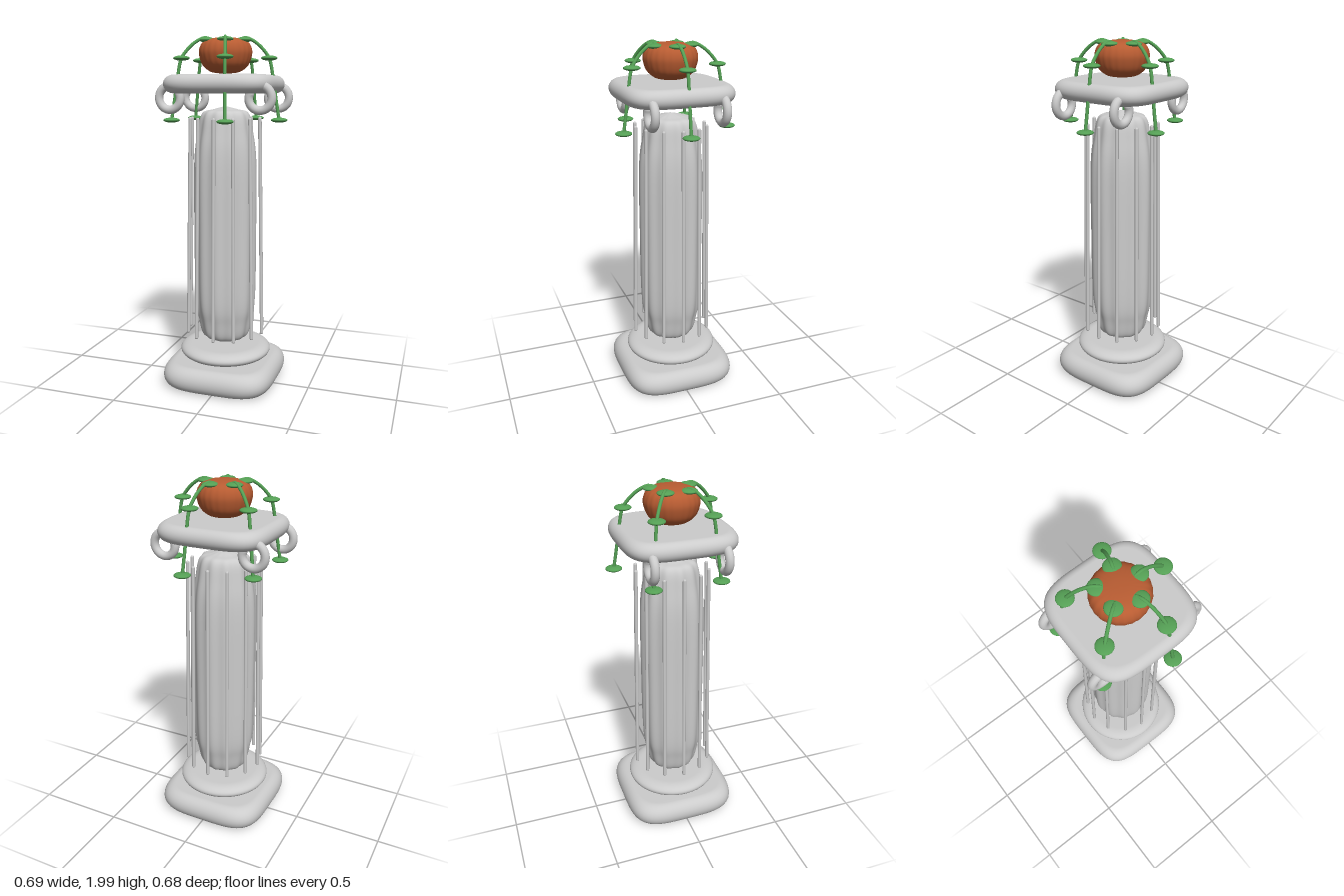
import * as THREE from 'three';
import { mergeVertices } from 'three/addons/utils/BufferGeometryUtils.js';

const AXIS_X = -0.007; // column axis
const stone = new THREE.MeshStandardMaterial({ color: 0xcccccc });
const clay = new THREE.MeshStandardMaterial({ color: 0xb85c32 });
const leafGreen = new THREE.MeshStandardMaterial({ color: 0x55a055 });

function addMesh(parent, name, geometry, material) {
  const mesh = new THREE.Mesh(geometry, material);
  mesh.name = name;
  parent.add(mesh);
  return mesh;
}

// Turned solid whose radius is scaled by a rule of the angle and height
function turned(points, segments, scaleAt = () => 1) {
  const g = new THREE.LatheGeometry(points, segments);
  const p = g.attributes.position;
  for (let i = 0; i < p.count; i++) {
    const s = scaleAt(Math.atan2(p.getZ(i), p.getX(i)), p.getY(i));
    p.setX(i, p.getX(i) * s);
    p.setZ(i, p.getZ(i) * s);
  }
  g.deleteAttribute('uv');
  g.deleteAttribute('normal');
  const merged = mergeVertices(g, 1e-5);
  merged.computeVertexNormals();
  return merged;
}

const smooth = (pairs, n) =>
  new THREE.SplineCurve(pairs.map(([r, y]) => new THREE.Vector2(r, y)))
    .getPoints(n).map(v => new THREE.Vector2(Math.max(v.x, 0), v.y));

// Profile of a slab with a rounded rim
function slabProfile(radius, y0, y1, rim) {
  const mid = (y0 + y1) / 2, h = (y1 - y0) / 2;
  const pts = [new THREE.Vector2(0, y0), new THREE.Vector2((radius - rim) * 0.6, y0)];
  for (let i = 0; i <= 16; i++) {
    const a = -Math.PI / 2 + Math.PI * i / 16;
    pts.push(new THREE.Vector2(radius - rim + rim * Math.cos(a), mid + h * Math.sin(a)));
  }
  pts.push(new THREE.Vector2((radius - rim) * 0.6, y1), new THREE.Vector2(0, y1));
  return pts;
}

// Rounded-square outline
const squarish = a =>
  Math.pow(Math.abs(Math.cos(a)) ** 4 + Math.abs(Math.sin(a)) ** 4, -1 / 4);

export function createModel() {
  const model = new THREE.Group();
  model.name = 'column';
  const body = new THREE.Group();
  body.name = 'columnBody';
  body.position.x = AXIS_X;
  model.add(body);

  // Base
  addMesh(body, 'plinth', turned(slabProfile(0.326, 0.005, 0.15, 0.065), 96, squarish), stone);
  addMesh(body, 'baseRing', turned(slabProfile(0.265, 0.16, 0.235, 0.07), 64), stone);

  // Fluted shaft with tapered ends
  const shaftProfile = smooth([[0, 0.24], [0.07, 0.258], [0.13, 0.285], [0.155, 0.38], [0.175, 0.52],
    [0.178, 0.9], [0.176, 1.3], [0.155, 1.48], [0.13, 1.58], [0.07, 1.602], [0, 1.62]], 60);
  addMesh(body, 'shaft', turned(shaftProfile, 144, a => 1 + 0.022 * Math.cos(12 * a)), stone);

  // Slender rods around the shaft, leaning in at the top
  const rodTop = new THREE.Vector3(0.2, 1.56, 0), rodFoot = new THREE.Vector3(0.223, 0.3, 0);
  const rodGeometry = new THREE.CapsuleGeometry(0.01, rodTop.distanceTo(rodFoot) - 0.02, 4, 10);
  for (let i = 0; i < 12; i++) {
    const pivot = new THREE.Group();
    pivot.name = 'rodPivot';
    pivot.rotation.y = i * Math.PI / 6;
    const rod = addMesh(pivot, 'rod', rodGeometry, stone);
    rod.position.addVectors(rodTop, rodFoot).multiplyScalar(0.5);
    rod.rotation.z = Math.atan2(rodFoot.x - rodTop.x, rodTop.y - rodFoot.y);
    body.add(pivot);
  }

  // Square top slab
  addMesh(body, 'abacus', turned(slabProfile(0.305, 1.69, 1.79, 0.05), 96, squarish), stone);

  // Curled scrolls under the slab corners
  for (const sx of [-1, 1]) {
    const points = [];
    for (let i = 0; i <= 24; i++) {
      const t = i / 24, a = Math.PI / 2 - t * Math.PI * 1.62, r = 0.067 - 0.008 * t;
      points.push(new THREE.Vector3(sx * (0.253 + r * Math.cos(a)), 1.664 + r * Math.sin(a), 0));
    }
    const curl = new THREE.TubeGeometry(new THREE.CatmullRomCurve3(points), 48, 0.023, 14);
    const cap = new THREE.SphereGeometry(0.023, 14, 10);
    for (const sz of [-1, 1]) {
      const scroll = new THREE.Group();
      scroll.name = 'scroll';
      scroll.position.z = sz * 0.194;
      addMesh(scroll, 'scrollCurl', curl, stone);
      for (const end of [points[0], points[24]]) {
        addMesh(scroll, 'scrollEnd', cap, stone).position.copy(end);
      }
      body.add(scroll);
    }
  }

  // Faintly ribbed pot
  const potProfile = smooth([[0, 1.8], [0.05, 1.801], [0.09, 1.812], [0.127, 1.845], [0.145, 1.895],
    [0.145, 1.93], [0.13, 1.962], [0.1, 1.981], [0.05, 1.99], [0, 1.992]], 40);
  addMesh(body, 'pot', turned(potProfile, 96, a => 1 + 0.008 * Math.cos(24 * a)), clay);

  // Trailing vines with flat round leaves
  const vineGeometry = new THREE.TubeGeometry(new THREE.CatmullRomCurve3([
    [0.085, 1.982], [0.12, 1.988], [0.17, 1.965], [0.22, 1.92], [0.252, 1.872],
    [0.275, 1.76], [0.292, 1.65], [0.31, 1.545]
  ].map(([x, y]) => new THREE.Vector3(x, y, 0))), 48, 0.009, 10);
  const leafGeometry = new THREE.SphereGeometry(0.045, 24, 14);
  const tipGeometry = new THREE.SphereGeometry(0.009, 10, 8);
  for (let i = 0; i < 5; i++) {
    const vine = new THREE.Group();
    vine.name = 'vine';
    vine.rotation.y = i * Math.PI * 2 / 5;
    addMesh(vine, 'stem', vineGeometry, leafGreen);
    addMesh(vine, 'stemTip', tipGeometry, leafGreen).position.set(0.085, 1.982, 0);
    for (const [r, y] of [[0.105, 1.977], [0.25, 1.878], [0.31, 1.546]]) {
      const leaf = addMesh(vine, 'leaf', leafGeometry, leafGreen);
      leaf.position.set(r, y, 0);
      leaf.scale.y = 0.3;
    }
    body.add(vine);
  }
  return model;
}
